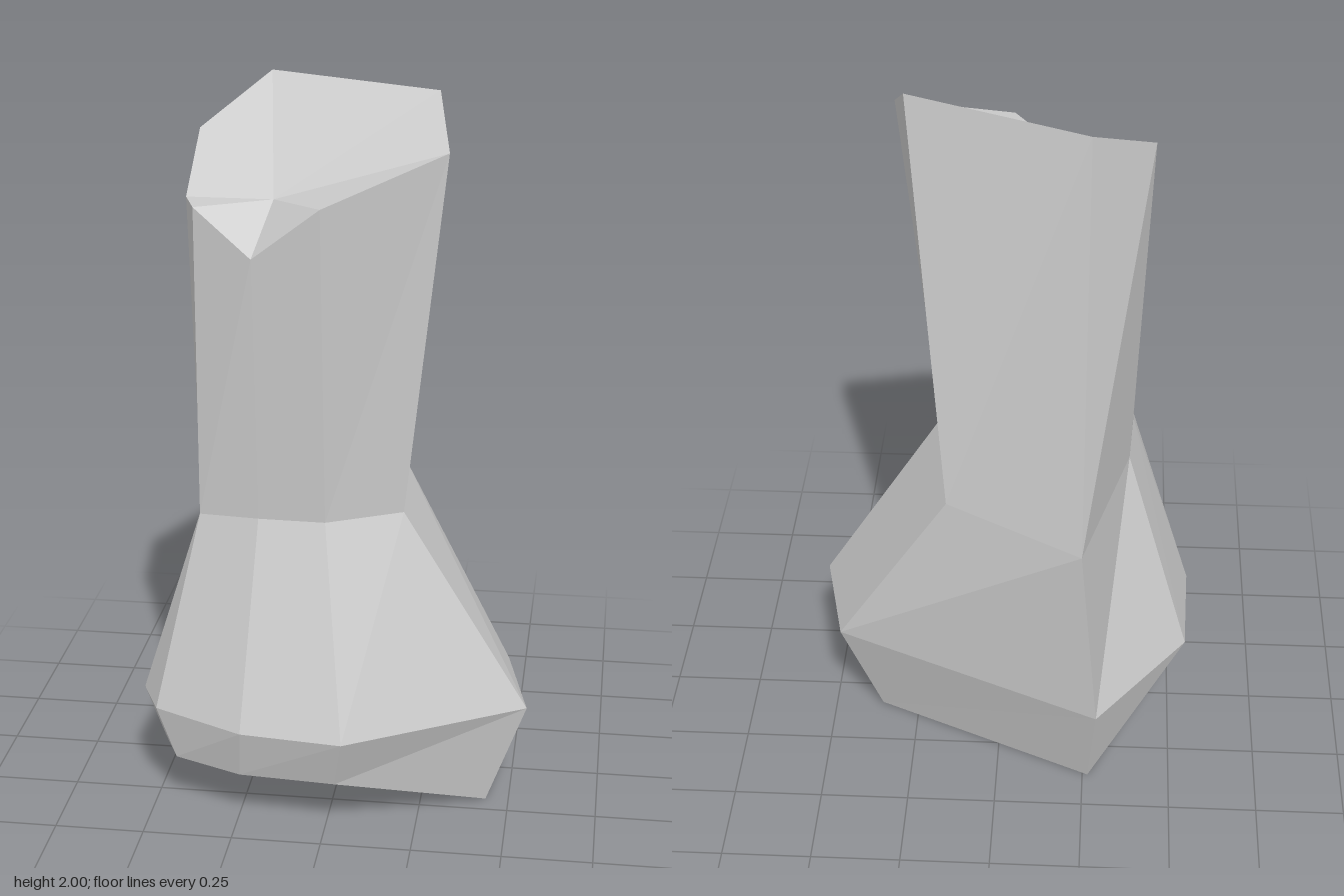
import * as THREE from 'three';

// Cross-sections from bottom to top; each corner is [x, y, z], running left, front, right, back
const RINGS = [
  [[-0.49, 0.15, 0.21], [-0.435, 0.15, 0.33], [-0.24, 0.15, 0.41], [0.03, 0.15, 0.43],
    [0.435, 0, 0.19], [0.36, 0, -0.085], [-0.265, 0, -0.375], [-0.47, 0.15, -0.09]],
  [[-0.55, 0.3, 0.2], [-0.49, 0.3, 0.33], [-0.23, 0.3, 0.455], [0.055, 0.3, 0.485],
    [0.545, 0.3, 0.195], [0.475, 0.3, -0.125], [-0.285, 0.3, -0.475], [-0.54, 0.3, -0.12]],
  [[-0.37, 0.87, 0.2], [-0.365, 0.87, 0.26], [-0.2, 0.87, 0.275], [-0.015, 0.87, 0.28],
    [0.19, 0.87, 0.175], [0.145, 0.87, -0.255], [-0.235, 0.87, -0.485], [-0.36, 0.87, 0]],
  [[-0.4, 1.74, 0.17], [-0.365, 1.735, 0.26], [-0.2, 1.62, 0.335], [-0.015, 1.765, 0.36],
    [0.3, 1.88, 0.18], [0.255, 2, -0.035], [-0.235, 2, -0.26], [-0.4, 1.88, -0.04]],
];
const BASE_POINT = [-0.18, 0, -0.28];
const TOP_POINT = [-0.165, 1.74, 0.17];

function facetMesh(name, triangles) {
  const geometry = new THREE.BufferGeometry();
  geometry.setAttribute('position', new THREE.Float32BufferAttribute(triangles.flat(2), 3));
  geometry.computeVertexNormals();
  const material = new THREE.MeshStandardMaterial({ color: 0xcccccc, flatShading: true });
  const mesh = new THREE.Mesh(geometry, material);
  mesh.name = name;
  return mesh;
}

// Triangles joining two neighbouring cross-sections
function band(lower, upper) {
  return lower.flatMap((p, i) => {
    const j = (i + 1) % lower.length;
    return [[p, lower[j], upper[j]], [p, upper[j], upper[i]]];
  });
}

// Triangles from one point to every side of a cross-section
function fan(point, ring, down) {
  return ring.map((p, i) => {
    const q = ring[(i + 1) % ring.length];
    return down ? [point, q, p] : [point, p, q];
  });
}

export function createModel() {
  const rock = new THREE.Group();
  rock.name = 'rockPillar';
  const [foot, belly, waist, rim] = RINGS;

  // Underside and chamfered foot
  rock.add(facetMesh('foot', [...fan(BASE_POINT, foot, true), ...band(foot, belly)]));
  // Wide lower body narrowing to the waist
  rock.add(facetMesh('lowerBody', band(belly, waist)));
  // Leaning shaft
  rock.add(facetMesh('shaft', band(waist, rim)));
  // Broken, sloping top with a notch at the front
  rock.add(facetMesh('brokenTop', fan(TOP_POINT, rim, false)));
  return rock;
}
